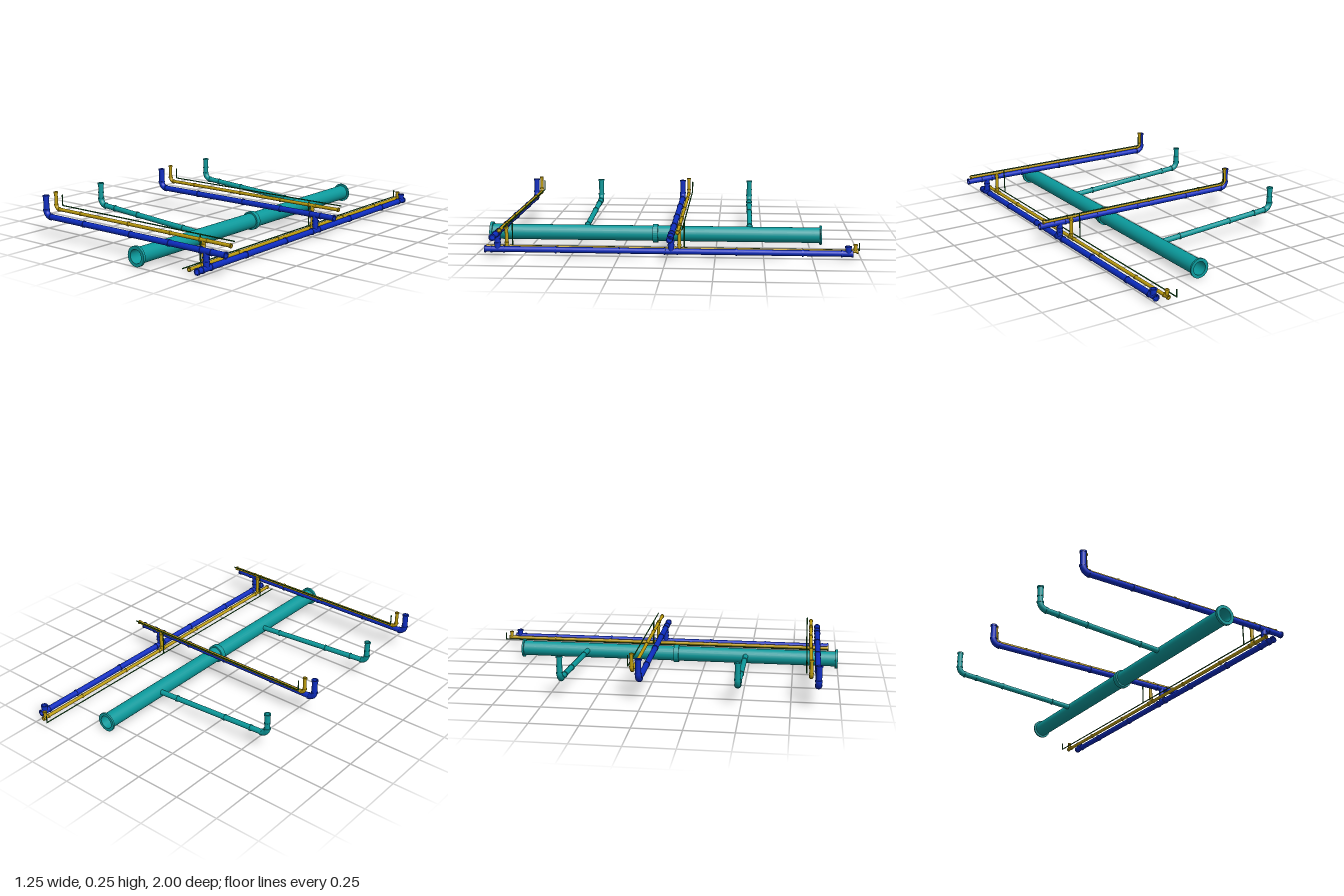
import * as THREE from 'three';

const V = (x, y, z) => new THREE.Vector3(x, y, z);
const paint = (color) => new THREE.MeshStandardMaterial({ color, side: THREE.DoubleSide });
const UP = V(0, 1, 0);

export function createModel() {
  const model = new THREE.Group();
  model.name = 'pipeNetwork';

  const teal = paint(0x0b9a9c), blue = paint(0x0c2cc0), gold = paint(0xbd9c0c), green = paint(0x0f5c1c);

  function add(parent, geometry, material, name) {
    const mesh = new THREE.Mesh(geometry, material);
    mesh.name = name;
    parent.add(mesh);
    return mesh;
  }

  function group(name, z = 0) {
    const g = new THREE.Group();
    g.name = name;
    g.position.z = z;
    model.add(g);
    return g;
  }

  // open straight pipe from a to b
  function straight(parent, a, b, r, material, name) {
    const m = add(parent, new THREE.CylinderGeometry(r, r, a.distanceTo(b), 24, 1, true), material, name);
    m.position.copy(a).lerp(b, 0.5);
    m.quaternion.setFromUnitVectors(UP, b.clone().sub(a).normalize());
  }

  // ring-shaped collar around a pipe, at p along dir
  function collar(parent, p, dir, r, inner, width, material, name = 'collar') {
    const h = width / 2;
    const profile = [[inner, -h], [r, -h], [r, h], [inner, h], [inner, -h]];
    const geo = new THREE.LatheGeometry(profile.map(([x, y]) => new THREE.Vector2(x, y)), 28).toNonIndexed();
    geo.computeVertexNormals();
    const m = add(parent, geo, material, name);
    m.position.copy(p);
    m.quaternion.setFromUnitVectors(UP, dir.clone().normalize());
  }

  // pipe through a, corner and b with a rounded elbow
  function bentPipe(parent, a, corner, b, r, bend, material, collarR = 0) {
    const dirA = a.clone().sub(corner).normalize(), dirB = b.clone().sub(corner).normalize();
    const p = corner.clone().addScaledVector(dirA, bend), q = corner.clone().addScaledVector(dirB, bend);
    straight(parent, a, p, r, material, 'run');
    straight(parent, q, b, r, material, 'riser');
    const k = 0.45 * bend;
    const curve = new THREE.CubicBezierCurve3(p, p.clone().addScaledVector(dirA, -(bend - k)),
      q.clone().addScaledVector(dirB, -(bend - k)), q);
    add(parent, new THREE.TubeGeometry(curve, 12, collarR ? r * 1.08 : r, 20), material, 'elbow');
    if (collarR) {
      collar(parent, p, dirA, collarR, r * 0.8, 0.008, material);
      collar(parent, q, dirB, collarR, r * 0.8, 0.008, material);
      collar(parent, b.clone().addScaledVector(dirB, -0.004), dirB, collarR, r * 0.8, 0.008, material, 'endCollar');
    }
  }

  // large drain main with hollow ends
  const drain = group('drainMain');
  const dx = 0.152, dy = 0.053;
  straight(drain, V(dx, dy, -0.82), V(dx, dy, 1), 0.042, teal, 'drainPipe');
  straight(drain, V(dx, dy, -0.82), V(dx, dy, 1), 0.036, teal, 'drainBore');
  for (const [z, w] of [[-0.815, 0.01], [0.085, 0.028], [0.993, 0.014]])
    collar(drain, V(dx, dy, z), V(0, 0, 1), w > 0.02 ? 0.051 : 0.053, 0.036, w, teal, 'drainCollar');

  // sloping drain branches
  for (const z of [-0.43, 0.482]) {
    const g = group('drainBranch', z);
    const start = V(0.115, 0.059, 0), corner = V(-0.608, 0.106, 0);
    bentPipe(g, start, corner, V(-0.608, 0.23, 0), 0.0145, 0.034, teal, 0.018);
    const dir = corner.clone().sub(start);
    for (const x of [0, -0.33, -0.5])
      collar(g, start.clone().addScaledVector(dir, (0.115 - x) / 0.723), dir, 0.0175, 0.012, 0.008, teal);
    collar(g, V(-0.608, 0.175, 0), UP, 0.0165, 0.012, 0.006, teal);
  }

  // the three supply systems: mains, with branches over them joined by risers
  const systems = [
    { name: 'water', mat: blue, r: 0.0155, cr: 0.0185, x: 0.502, y: 0.031, back: -0.957, stub: -0.932,
      by: 0.117, zs: [-0.022, 0.886], left: -0.608, top: 0.23, bend: 0.034,
      rings: [-0.323, 0.008, 0.268], ends: 0.033 },
    { name: 'gas', mat: gold, r: 0.0092, cr: 0.012, x: 0.453, y: 0.033, back: -0.988, stub: -0.973,
      by: 0.155, zs: [-0.062, 0.848], left: -0.572, top: 0.248, bend: 0.022,
      rings: [-0.385, -0.043, 0.24], ends: 0.022 },
    { name: 'cable', mat: green, r: 0.0032, cr: 0, x: 0.414, y: 0.031, back: -1, stub: -0.997,
      by: 0.172, zs: [-0.086, 0.825], left: -0.548, top: 0.23, bend: 0.004, rings: [], ends: 0 },
  ];

  for (const s of systems) {
    const Z = V(0, 0, 1), X = V(1, 0, 0), bore = s.r * 0.8;
    const main = group(s.name + 'Main');
    straight(main, V(s.x, s.y, s.back), V(s.x, s.y, 0.955), s.r, s.mat, 'mainPipe');
    straight(main, V(s.x, s.y, s.stub), V(s.x, 0.07, s.stub), s.r, s.mat, 'endRiser');
    if (s.cr) {
      collar(main, V(s.x, 0.066, s.stub), UP, s.cr, bore, 0.008, s.mat);
      const marks = [s.back + 0.004, s.stub + s.ends, -0.7, -0.36, 0.25, 0.58, 0.951];
      for (const z of s.zs) marks.push(z - s.ends, z + s.ends);
      for (const z of marks) collar(main, V(s.x, s.y, z), Z, s.cr, bore, 0.008, s.mat);
    }

    for (const z of s.zs) {
      const g = group(s.name + 'Branch', z);
      bentPipe(g, V(0.624, s.by, 0), V(s.left, s.by, 0), V(s.left, s.top, 0), s.r, s.bend, s.mat, s.cr);
      straight(g, V(s.x, s.y, 0), V(s.x, s.by, 0), s.r, s.mat, 'teeRiser');
      if (!s.cr) continue;
      for (const x of [...s.rings, s.x - s.ends, s.x + s.ends, 0.62])
        collar(g, V(x, s.by, 0), X, s.cr, bore, 0.007, s.mat);
      for (const y of [s.y + s.ends, s.by - s.ends])
        collar(g, V(s.x, y, 0), UP, s.cr, bore, 0.007, s.mat);
    }
  }

  return model;
}
